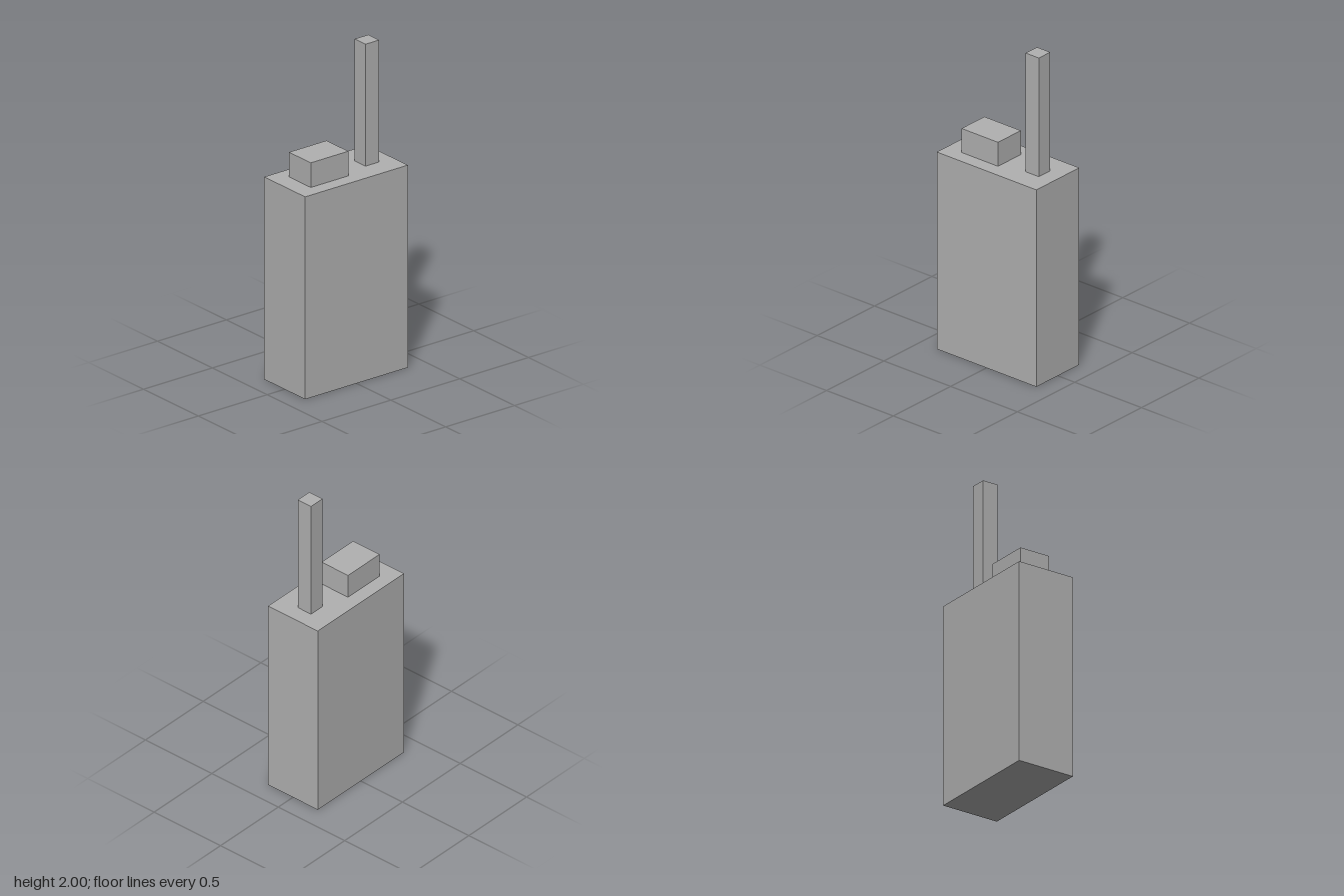
import * as THREE from 'three';

export function createModel() {
  const model = new THREE.Group();
  model.name = 'handheldRadio';

  const grey = new THREE.MeshStandardMaterial({ color: 0xb0b0b0 });
  grey.name = 'grey';

  // Adds a box centred on z = 0, standing on the given base height
  function addBox(name, width, height, depth, x, base) {
    const mesh = new THREE.Mesh(new THREE.BoxGeometry(width, height, depth), grey);
    mesh.name = name;
    mesh.position.set(x, base + height / 2, 0);
    model.add(mesh);
  }

  const bodyHeight = 1.248;

  // Main case
  addBox('body', 0.746, bodyHeight, 0.374, 0, 0);
  // Low block on the top
  addBox('topBlock', 0.273, 0.152, 0.199, -0.126, bodyHeight);
  // Tall square antenna on the model's left
  addBox('antenna', 0.099, 2 - bodyHeight, 0.099, 0.224, bodyHeight);

  return model;
}
